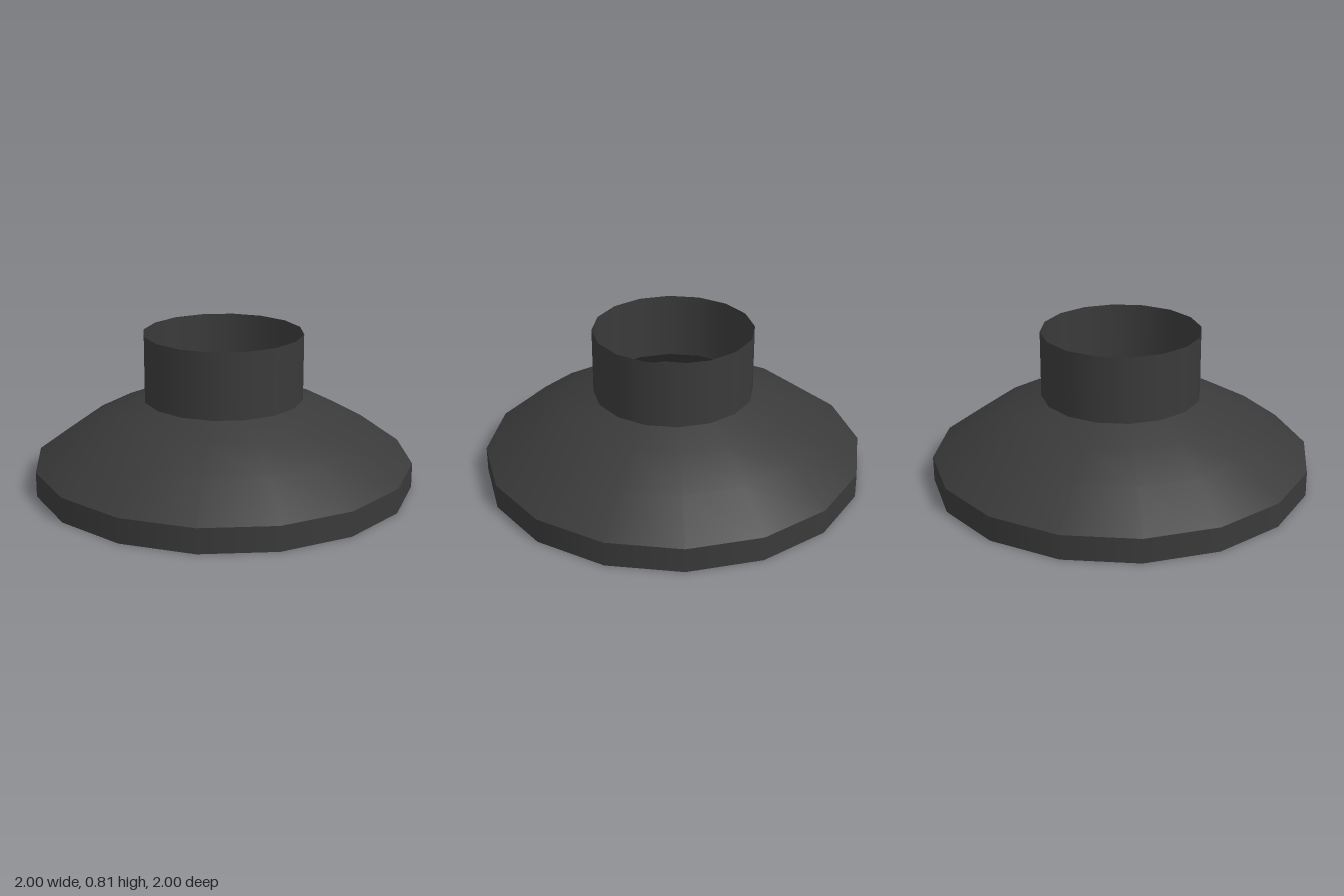
import * as THREE from 'three';

const SIDES = 16;

export function createModel() {
  const group = new THREE.Group();
  const material = new THREE.MeshStandardMaterial({ color: 0x3a3a3a, side: THREE.DoubleSide });

  const add = (name, geometry) => {
    const mesh = new THREE.Mesh(geometry, material);
    mesh.name = name;
    group.add(mesh);
    return mesh;
  };
  // Each band is its own lathe, so the edges between bands stay sharp
  const band = (name, profile) =>
    add(name, new THREE.LatheGeometry(profile.map(([r, y]) => new THREE.Vector2(r, y)), SIDES));

  // Closed underside of the hollow body
  add('bottomPlate', new THREE.CircleGeometry(1, SIDES).rotateX(Math.PI / 2));

  // Upright rim around the base
  band('baseRim', [[1, 0], [1, 0.13]]);

  // Shallow dome, open in the middle
  band('dome', [[1, 0.13], [0.78, 0.29], [0.585, 0.393], [0.42, 0.46]]);

  // Open collar leading into the hollow body
  band('collar', [[0.42, 0.46], [0.42, 0.81]]);

  return group;
}
